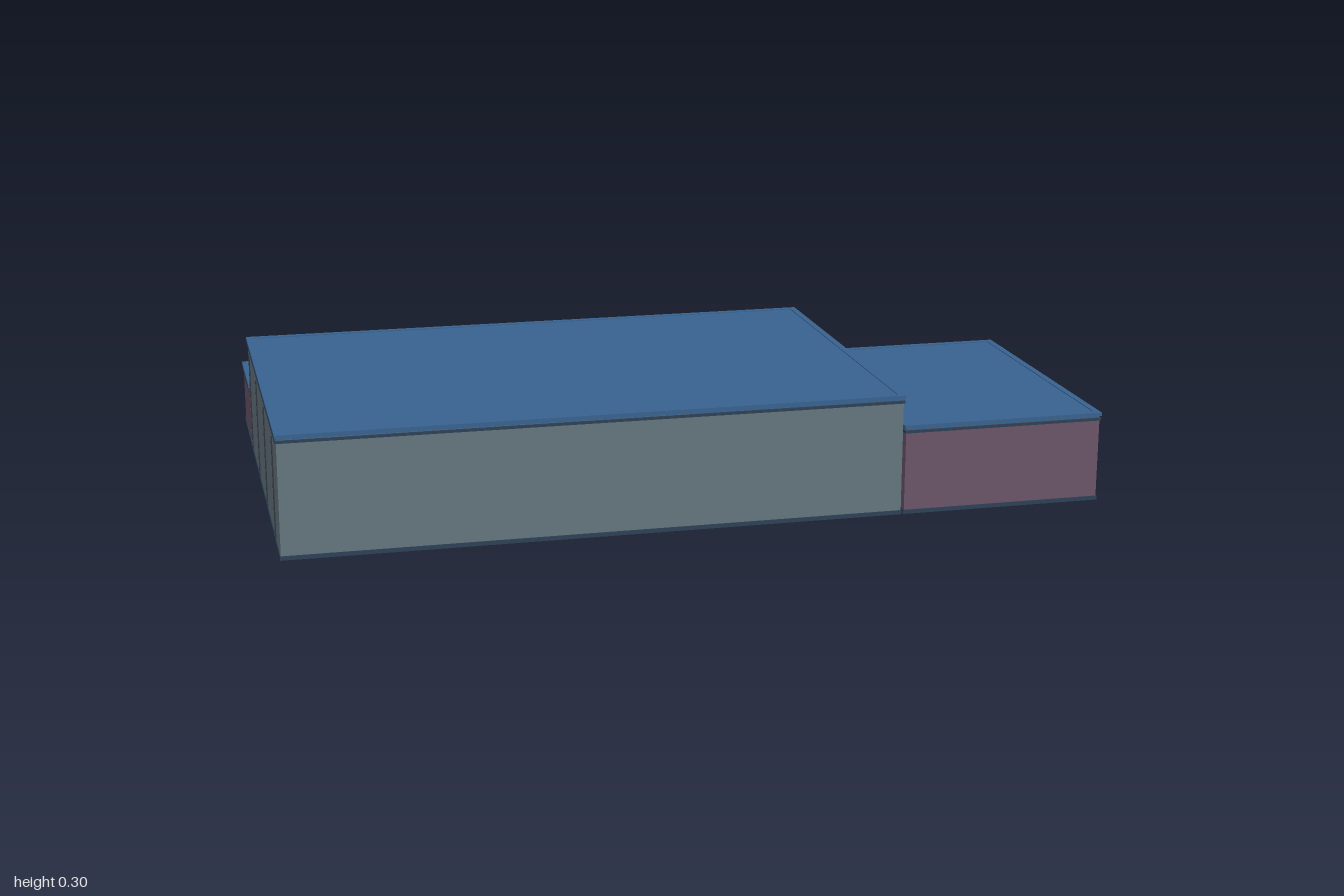
import * as THREE from 'three';

const material = (color) => new THREE.MeshStandardMaterial({ color });
const mats = {
  grey: material(0x64757e),
  plum: material(0x6a5367),
  roof: material(0x38628f),
  trim: material(0x2c4155),
  coral: material(0xdb7359),
  glass: material(0x294148),
  frame: material(0x4a626a),
  pipe: material(0x30363c),
};

// Box given by its limits on each axis
function block(parent, name, mat, [x0, x1], [y0, y1], [z0, z1]) {
  const mesh = new THREE.Mesh(new THREE.BoxGeometry(x1 - x0, y1 - y0, z1 - z0), mat);
  mesh.position.set((x0 + x1) / 2, (y0 + y1) / 2, (z0 + z1) / 2);
  mesh.name = name;
  parent.add(mesh);
}

// Rectangular ring running around a footprint
function ring(parent, name, mat, [x0, x1], y, [z0, z1], w) {
  const g = new THREE.Group();
  g.name = name;
  block(g, name + 'Front', mat, [x0, x1], y, [z1 - w, z1]);
  block(g, name + 'Back', mat, [x0, x1], y, [z0, z0 + w]);
  block(g, name + 'Left', mat, [x1 - w, x1], y, [z0 + w, z1 - w]);
  block(g, name + 'Right', mat, [x0, x0 + w], y, [z0 + w, z1 - w]);
  parent.add(g);
}

// Walls, plinth, stepped eaves and roof of one flat-roofed volume
function volume(name, mat, x, z, h) {
  const g = new THREE.Group();
  g.name = name;
  const grow = ([a, b], d) => [a - d, b + d];
  block(g, 'walls', mat, x, [0, h - 0.012], z);
  ring(g, 'plinth', mats.trim, grow(x, 0.002), [0, 0.01], grow(z, 0.002), 0.012);
  ring(g, 'eavesBand', mats.trim, grow(x, 0.003), [h - 0.02, h - 0.013], grow(z, 0.003), 0.015);
  block(g, 'roofDeck', mats.roof, x, [h - 0.013, h - 0.002], z);
  ring(g, 'roofEdge', mats.roof, grow(x, 0.004), [h - 0.008, h], grow(z, 0.004), 0.016);
  return g;
}

// Glazed unit on a wall facing -z, split by mullions and an optional crossbar
function windowUnit(name, [x0, x1], [y0, y1], z, panes, crossbar) {
  const g = new THREE.Group();
  g.name = name;
  const t = 0.004, out = [z - 0.004, z + 0.002];
  block(g, 'glass', mats.glass, [x0, x1], [y0, y1], [z - 0.002, z + 0.002]);
  block(g, 'sill', mats.frame, [x0, x1], [y0, y0 + t], out);
  block(g, 'head', mats.frame, [x0, x1], [y1 - t, y1], out);
  for (let i = 0; i <= panes; i++) {
    const x = x0 + t / 2 + (x1 - x0 - t) * i / panes;
    block(g, 'mullion', mats.frame, [x - t / 2, x + t / 2], [y0, y1], out);
  }
  if (crossbar) {
    const y = y0 + (y1 - y0) * 0.7;
    block(g, 'crossbar', mats.frame, [x0, x1], [y, y + 0.003], out);
  }
  return g;
}

export function createModel() {
  const model = new THREE.Group();
  model.name = 'industrialBuilding';

  // Tall hall, low side wing and low rear annex
  model.add(volume('mainHall', mats.grey, [-0.996, 0.491], [-0.338, 0.591], 0.298));
  model.add(volume('sideWing', mats.plum, [0.499, 0.996], [-0.15, 0.591], 0.223));
  model.add(volume('rearAnnex', mats.plum, [-0.996, 0.491], [-0.588, -0.346], 0.168));

  // Rear windows and glazed entrance
  const back = -0.588, level = [0.03, 0.113];
  for (const [a, b] of [[0.228, 0.452], [-0.68, -0.455], [-0.958, -0.735]]) {
    model.add(windowUnit('rearWindow', [a, b], level, back, 2, true));
  }
  model.add(windowUnit('rearEntrance', [-0.365, -0.205], level, back, 2, true));

  // Long clerestory strip above the annex roof
  model.add(windowUnit('clerestory', [-0.83, 0.33], [0.212, 0.25], -0.338, 10, false));

  // Coloured fascia over the rear side
  block(model, 'fascia', mats.coral, [-0.313, 0.313], [0.13, 0.174], [-0.595, -0.56]);

  // Slim vertical joints on both end walls
  const joint = (x, z, top) =>
    block(model, 'wallJoint', mats.pipe, [x - 0.002, x + 0.002], [0.01, top], [z - 0.002, z + 0.002]);
  for (const z of [0.465, 0.215, -0.035]) joint(0.997, z, 0.185);
  for (const z of [0.465, 0.215, -0.035, -0.285]) joint(-0.997, z, 0.26);

  return model;
}
